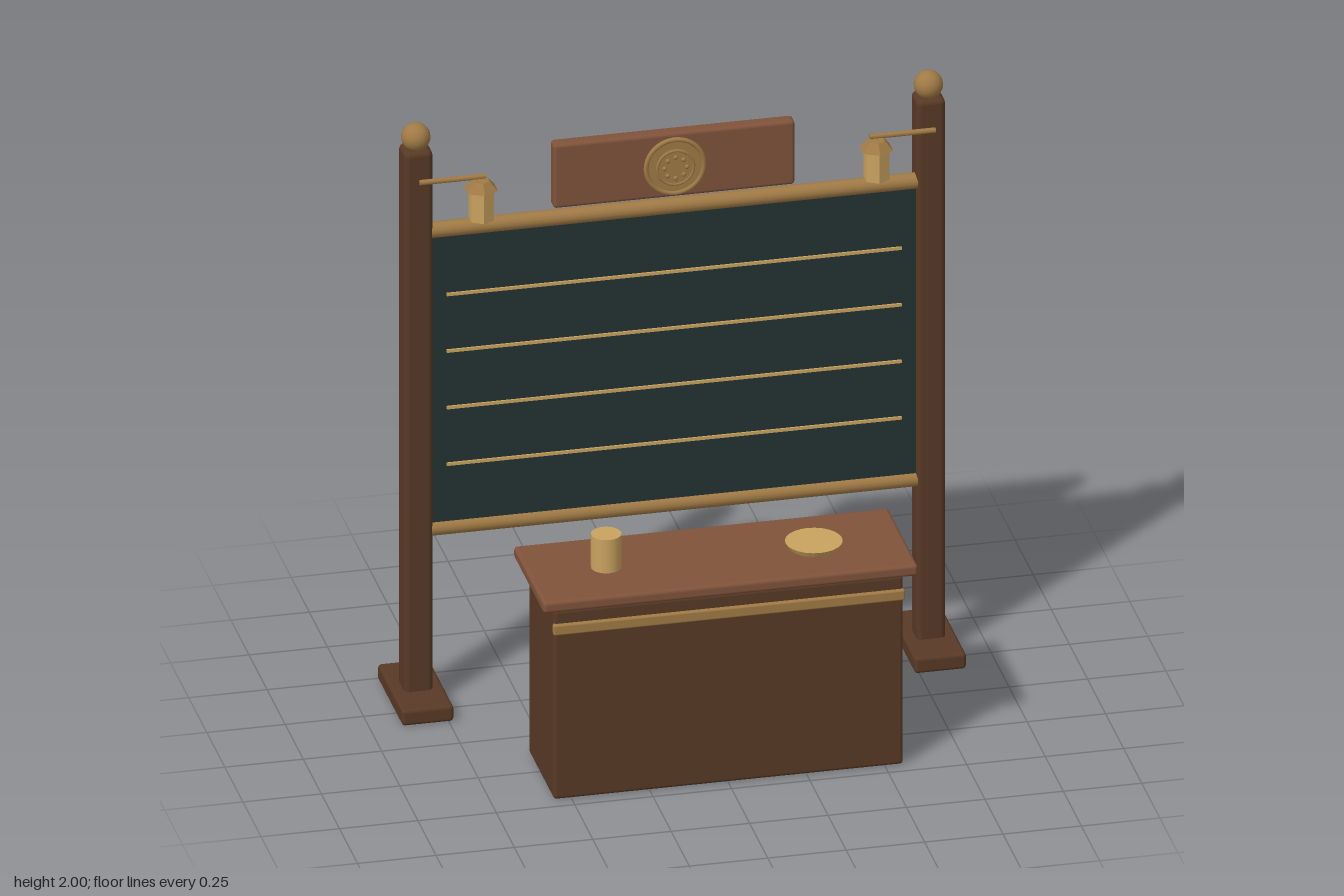
import * as THREE from 'three';
import { RoundedBoxGeometry } from 'three/addons/geometries/RoundedBoxGeometry.js';

const mat = (name, color) => new THREE.MeshStandardMaterial({ name, color });

export function createModel() {
  const root = new THREE.Group();
  root.name = 'noticeBoardAndDesk';
  const darkWood = mat('darkWood', 0x583925);
  const wood = mat('wood', 0x80533a);
  const brass = mat('brass', 0xa07a45);
  const paleBrass = mat('paleBrass', 0xc9a35f);
  const slate = mat('slate', 0x243232);

  const add = (name, geometry, material, x, y, z, parent = root) => {
    const mesh = new THREE.Mesh(geometry, material);
    mesh.name = name;
    mesh.position.set(x, y, z);
    parent.add(mesh);
    return mesh;
  };
  // rounded block given by its size and centre
  const block = (name, material, [w, h, d], [x, y, z], r = 0.012) =>
    add(name, new RoundedBoxGeometry(w, h, d, 3, r), material, x, y, z);

  // posts, feet, finials and hanging lanterns, mirrored left and right
  for (const [side, s] of [['left', 1], ['right', -1]]) {
    block(side + 'Foot', darkWood, [0.165, 0.055, 0.345], [s * 0.817, 0.0275, -0.323]);
    block(side + 'Post', darkWood, [0.092, 1.88, 0.092], [s * 0.817, 0.98, -0.322], 0.018);
    add(side + 'Finial', new THREE.SphereGeometry(0.046, 20, 14), brass, s * 0.817, 1.954, -0.322);

    const arm = add(side + 'LanternArm', new THREE.CylinderGeometry(0.009, 0.009, 0.21, 8), brass, s * 0.717, 1.832, -0.245);
    arm.rotation.z = Math.PI / 2;

    const lantern = new THREE.Group();
    lantern.name = side + 'Lantern';
    lantern.position.set(s * 0.63, 0, -0.229);
    root.add(lantern);
    const hex = (name, top, bottom, h, y, material) => {
      const g = new THREE.CylinderGeometry(top, bottom, h, 6).toNonIndexed();
      g.computeVertexNormals();
      add(name, g, material, 0, y, 0, lantern);
    };
    hex('lanternBody', 0.042, 0.042, 0.105, 1.747, paleBrass);
    hex('lanternRoof', 0.028, 0.055, 0.03, 1.812, brass);
  }

  // writing board with its two round rails
  add('board', new THREE.BoxGeometry(1.55, 1.03, 0.03), slate, 0, 1.116, -0.31);
  for (const [name, y] of [['topRail', 1.633], ['bottomRail', 0.602]]) {
    const rail = add(name, new THREE.CylinderGeometry(0.026, 0.026, 1.55, 16), brass, 0, y, -0.307);
    rail.rotation.z = Math.PI / 2;
  }
  for (let i = 0; i < 4; i++) {
    add('ruledLine', new THREE.BoxGeometry(1.45, 0.01, 0.008), paleBrass, 0, 1.411 - i * 0.196, -0.293);
  }

  // header plaque with a round medallion
  block('plaque', wood, [0.77, 0.222, 0.048], [0, 1.78, -0.314]);
  const disc = add('medallionDisc', new THREE.CylinderGeometry(0.092, 0.092, 0.012, 32), brass, 0, 1.78, -0.286);
  disc.rotation.x = Math.PI / 2;
  add('medallionRim', new THREE.TorusGeometry(0.092, 0.008, 8, 40), brass, 0, 1.78, -0.282);
  const boss = add('medallionBoss', new THREE.CylinderGeometry(0.058, 0.058, 0.012, 32), brass, 0, 1.78, -0.277);
  boss.rotation.x = Math.PI / 2;
  add('medallionInnerRing', new THREE.TorusGeometry(0.058, 0.005, 8, 32), brass, 0, 1.78, -0.273);
  for (let i = 0; i < 8; i++) {
    const a = i * Math.PI / 4;
    add('medallionBead', new THREE.SphereGeometry(0.008, 8, 6), brass,
      0.036 * Math.cos(a), 1.78 + 0.036 * Math.sin(a), -0.272);
  }

  // desk
  block('deskBody', darkWood, [1.115, 0.655, 0.345], [0, 0.3295, 0.287]);
  block('deskTop', wood, [1.195, 0.04, 0.415], [0, 0.684, 0.283]);
  add('deskNeck', new THREE.BoxGeometry(1.09, 0.03, 0.32), darkWood, 0, 0.655, 0.287);
  block('deskTrim', brass, [1.12, 0.036, 0.022], [0, 0.594, 0.461], 0.006);

  // mug and dish on the desk
  add('mug', new THREE.CylinderGeometry(0.048, 0.048, 0.115, 20), paleBrass, -0.35, 0.7615, 0.284);
  add('dish', new THREE.CylinderGeometry(0.09, 0.08, 0.018, 24), paleBrass, 0.312, 0.712, 0.284);

  return root;
}
